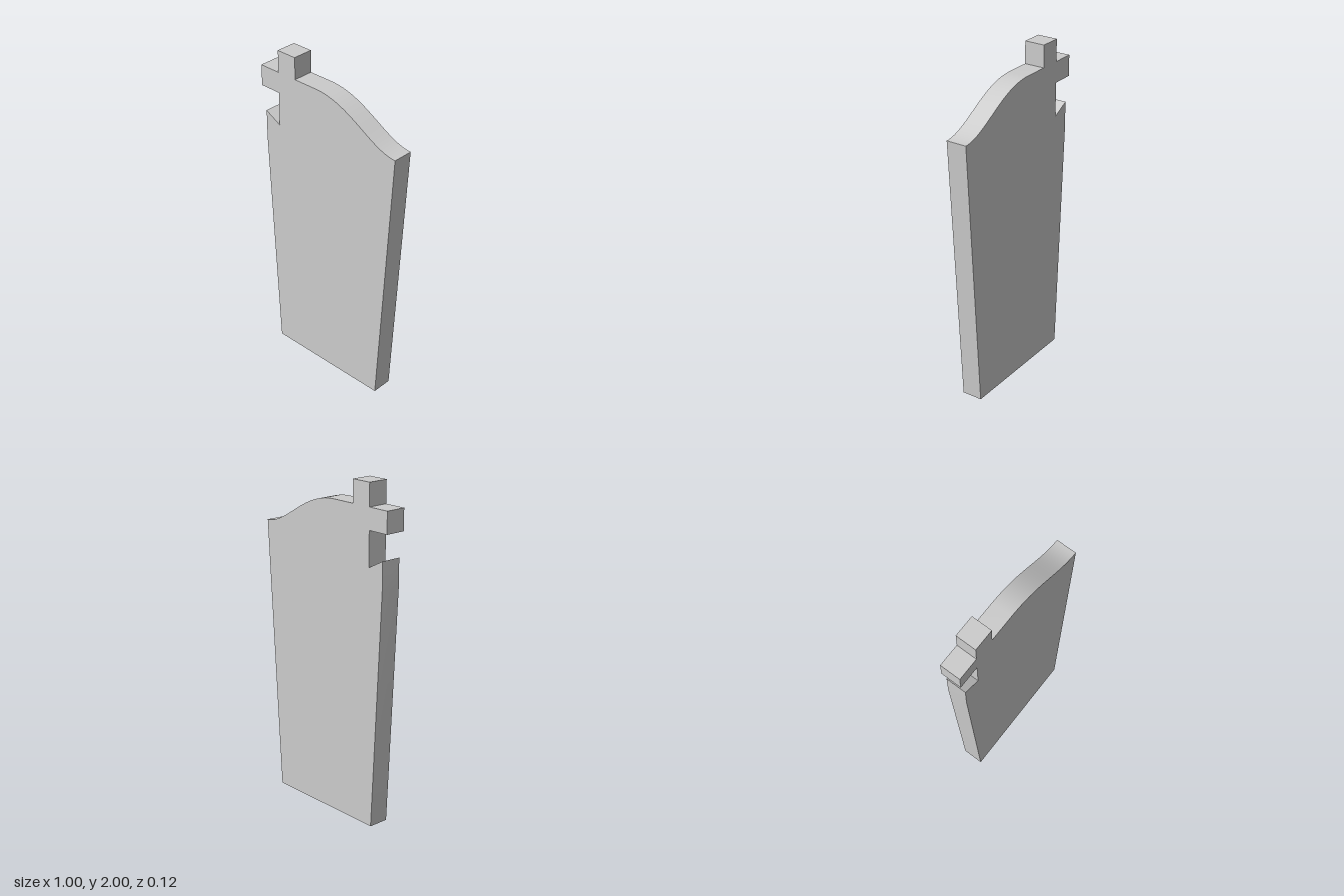
import * as THREE from 'three';
import { toCreasedNormals } from 'three/addons/utils/BufferGeometryUtils.js';

const DEPTH = 0.125;

export function createModel() {
  const group = new THREE.Group();
  group.name = 'headstone';

  const outline = new THREE.Shape();
  const lineThrough = (points) => points.forEach(([x, y]) => outline.lineTo(x, y));

  // Tapered slab: base and right edge
  outline.moveTo(-0.4, 0);
  lineThrough([[0.395, 0], [0.495, 1.655]]);

  // Wavy shoulder rising to the cross
  outline.bezierCurveTo(0.32, 1.66, 0.17, 1.867, -0.08, 1.867);

  // Cross: right arm merges with the slab, top and left arm stand free
  lineThrough([
    [-0.235, 1.867], [-0.235, 2], [-0.365, 2], [-0.365, 1.867],
    [-0.5, 1.867], [-0.5, 1.74], [-0.365, 1.74],
  ]);

  // Slanted notch below the left arm, then the left edge
  lineThrough([[-0.365, 1.535], [-0.47, 1.59], [-0.47, 1.42]]);
  outline.closePath();

  const extruded = new THREE.ExtrudeGeometry(outline, {
    depth: DEPTH, bevelEnabled: false, curveSegments: 32,
  });
  extruded.translate(0, 0, -DEPTH / 2);

  // Smooth along the wave, sharp at every corner
  const slab = new THREE.Mesh(
    toCreasedNormals(extruded, 0.15),
    new THREE.MeshStandardMaterial({ color: 0xcccccc }),
  );
  slab.name = 'slabWithCross';
  group.add(slab);
  return group;
}
